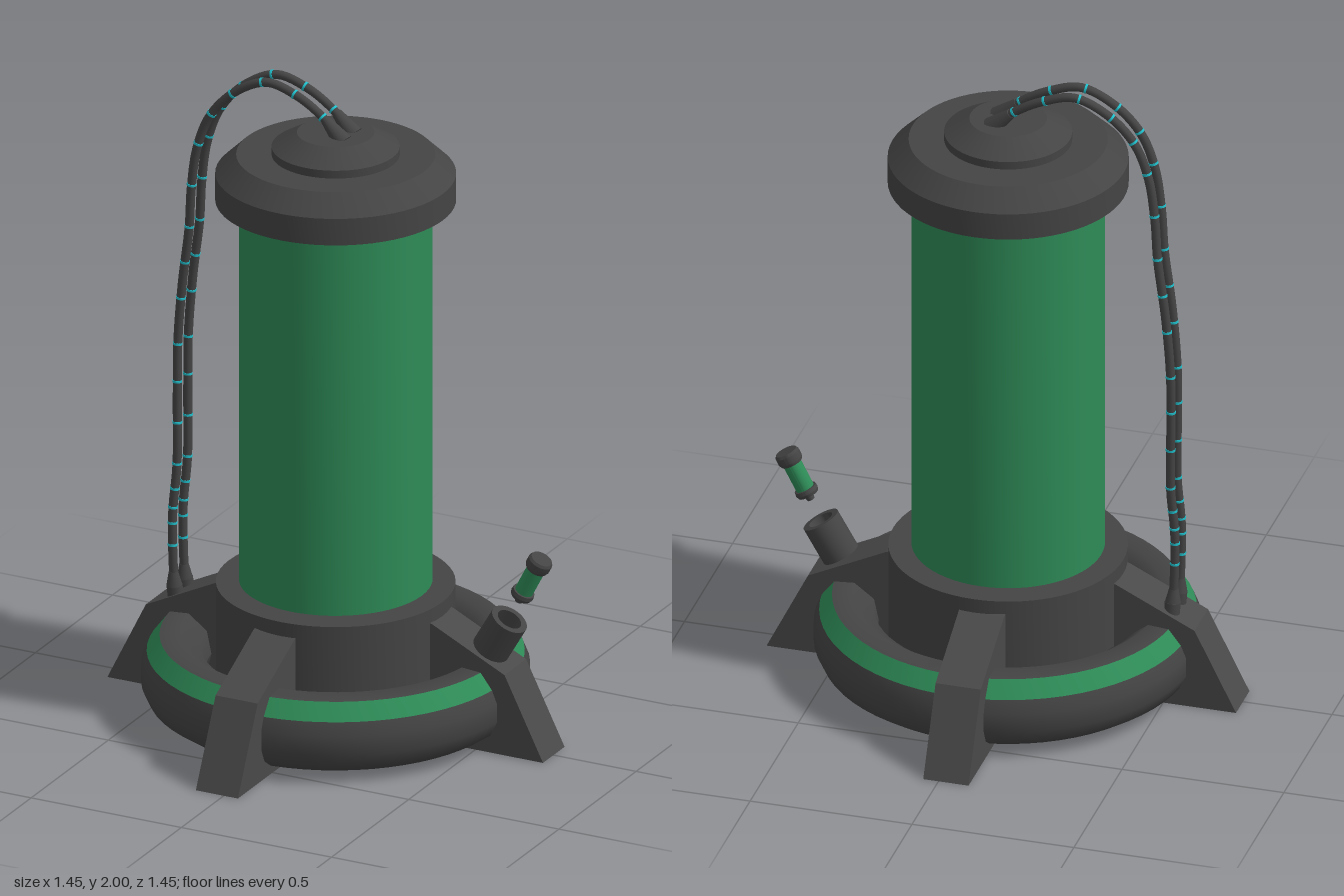
import * as THREE from 'three';
import { toCreasedNormals } from 'three/addons/utils/BufferGeometryUtils.js';

const paint = (name, color) => {
  const m = new THREE.MeshStandardMaterial({ color });
  m.name = name;
  return m;
};

export function createModel() {
  const model = new THREE.Group();
  model.name = 'containmentTank';
  const grey = paint('dark grey', 0x444444);
  const legGrey = paint('leg grey', 0x494949);
  const green = paint('green', 0x2e8b57);
  const cyan = paint('cyan', 0x1fc0cc);

  const add = (parent, name, geometry, material) => {
    const mesh = new THREE.Mesh(geometry, material);
    mesh.name = name;
    parent.add(mesh);
    return mesh;
  };
  // Turned part from [radius, height] pairs running up the outside
  const turned = (parent, name, profile, material, segments = 64, crease = 0.5) => {
    const pts = profile.map(([r, y]) => new THREE.Vector2(r, y));
    return add(parent, name, toCreasedNormals(new THREE.LatheGeometry(pts, segments), crease), material);
  };

  // Base, tank and lid
  turned(model, 'base', [[0, 0.005], [0.355, 0.005], [0.355, 0.42], [0, 0.42]], grey);
  turned(model, 'tank', [[0, 0.428], [0.287, 0.428], [0.287, 1.65], [0, 1.65]], green);
  turned(model, 'lid', [[0, 1.645], [0.357, 1.645], [0.357, 1.73], [0.295, 1.79], [0, 1.79]], grey);
  turned(model, 'lidKnob', [[0.19, 1.785], [0.19, 1.815], [0.115, 1.86], [0, 1.86]], grey);

  // Ring around the base, with a green band on its upper shoulder
  turned(model, 'ringLower', [
    [0.385, 0.14], [0.4, 0.075], [0.45, 0.03], [0.515, 0.027], [0.555, 0.055],
    [0.576, 0.1], [0.576, 0.16], [0.56, 0.2],
  ], grey, 64, 0.8);
  turned(model, 'ringBand', [[0.56, 0.2], [0.522, 0.25]], green);
  turned(model, 'ringUpper', [[0.522, 0.25], [0.46, 0.255], [0.4, 0.21], [0.385, 0.14]], grey, 64, 0.8);

  // Four legs
  const legShape = new THREE.Shape([
    [0.32, 0], [0.725, 0], [0.597, 0.257], [0.355, 0.375], [0.32, 0.385],
  ].map(([x, y]) => new THREE.Vector2(x, y)));
  const legGeometry = new THREE.ExtrudeGeometry(legShape, { depth: 0.14, bevelEnabled: false });
  legGeometry.translate(0, 0, -0.07);
  for (let i = 0; i < 4; i++) {
    const leg = add(model, 'leg', legGeometry, legGrey);
    leg.rotation.y = i * Math.PI / 2;
    if (i % 2) leg.position.x = -0.023;
    else leg.position.z = -0.002;
  }

  // Hollow socket on the right-hand leg
  const socket = turned(model, 'socket', [
    [0, 0], [0.058, 0], [0.058, 0.123], [0.039, 0.123], [0.039, 0.03], [0, 0.03],
  ], grey, 32);
  socket.position.set(0.518, 0.303, 0.003);
  socket.rotation.z = -0.53;

  // Small canister hovering above the socket
  const canister = new THREE.Group();
  canister.name = 'canister';
  canister.position.set(0.61, 0.474, 0.003);
  canister.rotation.z = -0.48;
  model.add(canister);
  turned(canister, 'canisterTip', [
    [0, 0], [0.012, 0], [0.014, 0.016], [0.032, 0.018], [0.036, 0.028], [0.034, 0.04], [0, 0.04],
  ], grey, 24);
  turned(canister, 'canisterBody', [[0.028, 0.038], [0.028, 0.132]], green, 24);
  turned(canister, 'canisterCap', [
    [0, 0.128], [0.033, 0.128], [0.038, 0.138], [0.038, 0.16], [0.033, 0.168], [0, 0.168],
  ], grey, 24);

  // Pair of cables from the lid down to the leg
  const path = [
    [0.035, 1.85], [-0.04, 1.915], [-0.124, 1.962], [-0.22, 1.986], [-0.325, 1.935], [-0.4, 1.85],
    [-0.442, 1.74], [-0.463, 1.606], [-0.474, 1.475], [-0.5, 1.29], [-0.516, 1.1], [-0.516, 0.92],
    [-0.513, 0.71], [-0.524, 0.55], [-0.52, 0.36], [-0.516, 0.29],
  ];
  const bands = [0.09, 0.2, 0.31, 0.42, 0.52, 0.63, 0.77, 0.91, 1.03, 1.15, 1.3,
    1.42, 1.55, 1.68, 1.76, 1.82, 1.87, 1.94];
  const up = new THREE.Vector3(0, 1, 0);
  for (const side of [-1, 1]) {
    const cable = new THREE.Group();
    cable.name = 'cable';
    model.add(cable);
    const curve = new THREE.CatmullRomCurve3(path.map(([x, y], i) => new THREE.Vector3(
      x, y, -0.006 + side * 0.034 - 0.01 * Math.sin(i * 0.8))));
    const length = curve.getLength();
    add(cable, 'cableHose', new THREE.TubeGeometry(curve, 120, 0.0135, 10), grey);

    // Sleeve centred at a distance along the cable
    const sleeve = (name, at, r0, r1, size, material) => {
      const u = Math.min(at / length, 1);
      const mesh = add(cable, name, new THREE.CylinderGeometry(r1, r0, size, 14), material);
      mesh.position.copy(curve.getPointAt(u));
      mesh.quaternion.setFromUnitVectors(up, curve.getTangentAt(u));
    };
    bands.forEach((at) => sleeve('cableBand', at, 0.0148, 0.0148, 0.007, cyan));
    sleeve('cableTopCollar', 0.035, 0.03, 0.015, 0.085, grey);
    sleeve('cableFootCollar', length - 0.055, 0.014, 0.024, 0.045, grey);
    sleeve('cableFoot', length - 0.014, 0.024, 0.024, 0.04, grey);
  }
  return model;
}
